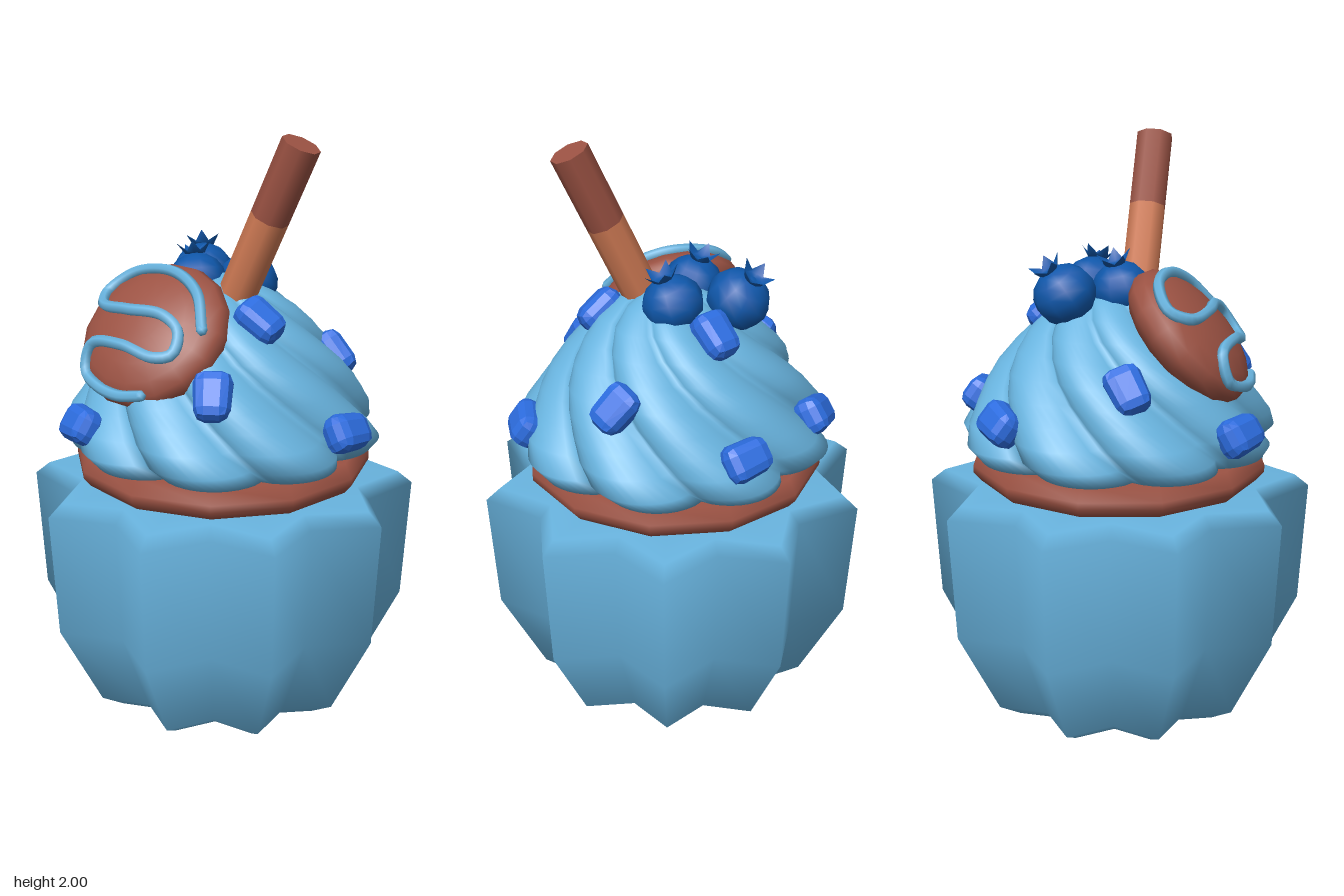
import * as THREE from 'three';
import { mergeVertices } from 'three/addons/utils/BufferGeometryUtils.js';
import { RoundedBoxGeometry } from 'three/addons/geometries/RoundedBoxGeometry.js';

const mat = (name, color, side = THREE.FrontSide) => {
  const m = new THREE.MeshStandardMaterial({ color, side });
  m.name = name;
  return m;
};
const UP = new THREE.Vector3(0, 1, 0);

// Lathe whose vertices are moved by rule(angle, radius, y) -> [angle, radius, y].
// keepNormals keeps the round shading of the plain lathe.
function ruledLathe(points, segments, rule, keepNormals = false) {
  let g = new THREE.LatheGeometry(points.map(([r, y]) => new THREE.Vector2(r, y)), segments);
  const p = g.attributes.position;
  for (let i = 0; i < p.count; i++) {
    const x = p.getX(i), z = p.getZ(i);
    const [a, r, y] = rule(Math.atan2(x, z), Math.hypot(x, z), p.getY(i));
    p.setXYZ(i, r * Math.sin(a), y, r * Math.cos(a));
  }
  if (keepNormals) return g;
  g.deleteAttribute('uv');
  g.deleteAttribute('normal');
  g = mergeVertices(g, 1e-5);
  g.computeVertexNormals();
  return g;
}

export function createModel() {
  const blue = mat('light blue', 0x68b3de, THREE.DoubleSide);
  const brown = mat('chocolate brown', 0x9b5243);
  const orange = mat('cinnamon orange', 0xcf7a54);
  const navy = mat('berry blue', 0x0f57aa, THREE.DoubleSide);
  const royal = mat('candy blue', 0x2c6cde);

  const model = new THREE.Group();
  const add = (parent, name, geometry, material) => {
    const m = new THREE.Mesh(geometry, material);
    m.name = name;
    parent.add(m);
    return m;
  };
  const group = (name) => {
    const g = new THREE.Group();
    g.name = name;
    model.add(g);
    return g;
  };

  // Ten-pointed fluted cup, open below, with a bevelled rim folding inward
  const star = (a, r, y) => [a, Math.round(a / (Math.PI / 10)) % 2 ? r : r * 0.8, y];
  const wall = [[0.42, 0], [0.5, 0.05], [0.65, 0.36], [0.67, 0.79], [0.62, 0.83], [0.4, 0.832], [0, 0.832]];
  add(model, 'cup', ruledLathe(wall, 20, star, true), blue);

  // Cake layer
  add(model, 'cakeLayer', ruledLathe(
    [[0, 0.845], [0.49, 0.845], [0.515, 0.875], [0.515, 0.9], [0.49, 0.95], [0, 0.955]], 12, (...v) => v), brown);

  // Swirled frosting: nine lobes that twist toward the peak
  const profile = [[0, 0.95], [0.25, 0.95], [0.52, 0.95], [0.555, 1.0], [0.53, 1.06], [0.49, 1.12], [0.455, 1.18],
    [0.415, 1.24], [0.365, 1.3], [0.31, 1.36], [0.25, 1.42], [0.18, 1.47], [0.1, 1.51], [0, 1.53]];
  add(model, 'frosting', ruledLathe(profile, 108, (a, r, y) => {
    const t = (y - 0.95) / 0.58;
    const lobe = Math.abs(Math.cos(4.5 * a));
    return [a - 1.1 * t - 0.5 * t * t, r * (0.87 + 0.13 * Math.pow(lobe, 0.8)), y];
  }), blue);

  // Domed biscuit leaning on the frosting, with a zigzag of icing
  const biscuit = group('biscuit');
  const R = 0.265, T = 0.115;
  const normal = new THREE.Vector3(-0.36, 0.67, 0.63).normalize();
  const centre = new THREE.Vector3(-0.205, 1.357, 0.183);
  biscuit.position.copy(centre);
  biscuit.quaternion.setFromUnitVectors(UP, normal);
  add(biscuit, 'biscuitBody', new THREE.SphereGeometry(1, 16, 10).scale(R, T, R), brown);
  const inverse = biscuit.quaternion.clone().invert();
  const icingXZ = [[-0.04, 0.33], [-0.065, 0.23], [-0.15, 0.13], [-0.28, 0.055], [-0.375, 0.06], [-0.38, 0.13],
    [-0.29, 0.22], [-0.17, 0.285], [-0.115, 0.335], [-0.13, 0.375], [-0.19, 0.37], [-0.3, 0.305],
    [-0.41, 0.225], [-0.445, 0.245], [-0.4, 0.315], [-0.31, 0.365], [-0.23, 0.4]];
  const icingPath = icingXZ.map(([x, z]) => {
    const dx = x - centre.x, dz = z - centre.z;
    const p = new THREE.Vector3(0, T * 0.7, 0);
    // Drop the point onto the dome in a few steps
    for (let i = 0; i < 5; i++) {
      p.set(dx, (p.y - normal.x * dx - normal.z * dz) / normal.y, dz).applyQuaternion(inverse);
      const k = Math.min(1, 0.94 * R / Math.hypot(p.x, p.z));
      p.x *= k;
      p.z *= k;
      p.y = T * Math.sqrt(1 - (p.x ** 2 + p.z ** 2) / R ** 2) + 0.008;
    }
    return p;
  });
  add(biscuit, 'icing', new THREE.TubeGeometry(new THREE.CatmullRomCurve3(icingPath), 90, 0.019, 6), blue);
  for (const end of [icingPath[0], icingPath[icingPath.length - 1]])
    add(biscuit, 'icingEnd', new THREE.SphereGeometry(0.019, 6, 5), blue).position.copy(end);

  // Wafer stick with a dipped tip
  const stick = group('stick');
  const foot = new THREE.Vector3(0.025, 1.4, 0.07), tip = new THREE.Vector3(0.257, 1.973, 0.203);
  const length = foot.distanceTo(tip), split = length * 0.59;
  stick.position.copy(foot);
  stick.quaternion.setFromUnitVectors(UP, tip.clone().sub(foot).normalize());
  for (const [name, from, to, material] of [['stickLower', 0, split, orange], ['stickTip', split, length, brown]])
    add(stick, name, new THREE.CylinderGeometry(0.064, 0.064, to - from, 8).translate(0, (from + to) / 2, 0), material);

  // Berries: position, radius, crown direction
  const berries = [
    [[-0.08, 1.49, -0.205], 0.107, [-0.05, 0.75, -0.5]],
    [[0.085, 1.49, -0.065], 0.103, [0.25, 0.9, 0.2]],
    [[-0.085, 1.5, -0.015], 0.1, [-0.1, 0.95, -0.25]],
  ];
  // Five-pointed flaring crown
  const crown = ruledLathe([[0, 0], [0.034, 0], [0.06, 0.036]], 10, (a, r, y) =>
    y > 0 && Math.round(a / (Math.PI / 5)) % 2 ? [a, 0.038, 0.008] : [a, r, y]);
  for (const [pos, r, dir] of berries) {
    const berry = group('berry');
    berry.position.set(...pos);
    berry.quaternion.setFromUnitVectors(UP, new THREE.Vector3(...dir).normalize());
    add(berry, 'berryBody', new THREE.SphereGeometry(r, 10, 8).scale(1, 0.92, 1), navy);
    add(berry, 'berryCrown', crown, navy).position.y = r * 0.9;
  }

  // Candy chunks: position and roll on the frosting surface
  const chunks = [
    [-0.2, 1.1, -0.45, 1.3], [0.2, 1.1, -0.45, 1.75], [0.07, 1.415, -0.225, 0.1],
    [-0.39, 1.235, -0.08, 0.4], [0.39, 1.235, -0.08, -0.5], [0.425, 1.075, 0.29, 1.4],
    [-0.44, 1.075, 0.28, 1.65], [0, 1.225, 0.41, 0], [0.135, 1.415, 0.205, 0.5],
  ];
  const chunkShape = new RoundedBoxGeometry(0.128, 0.16, 0.1, 1, 0.036);
  const cp = chunkShape.attributes.position;
  for (let i = 0; i < cp.count; i++) {
    const k = 1 - 1.6 * Math.max(0, -cp.getY(i)) - 0.8 * Math.max(0, cp.getZ(i));
    cp.setX(i, cp.getX(i) * k);
  }
  chunkShape.computeVertexNormals();
  for (const [x, y, z, roll] of chunks) {
    const chunk = add(model, 'candyChunk', chunkShape, royal);
    chunk.position.set(x, y, z);
    chunk.rotation.set(-0.6 - Math.max(0, y - 1.3) * 2, Math.atan2(x, z), roll, 'YXZ');
  }

  return model;
}
